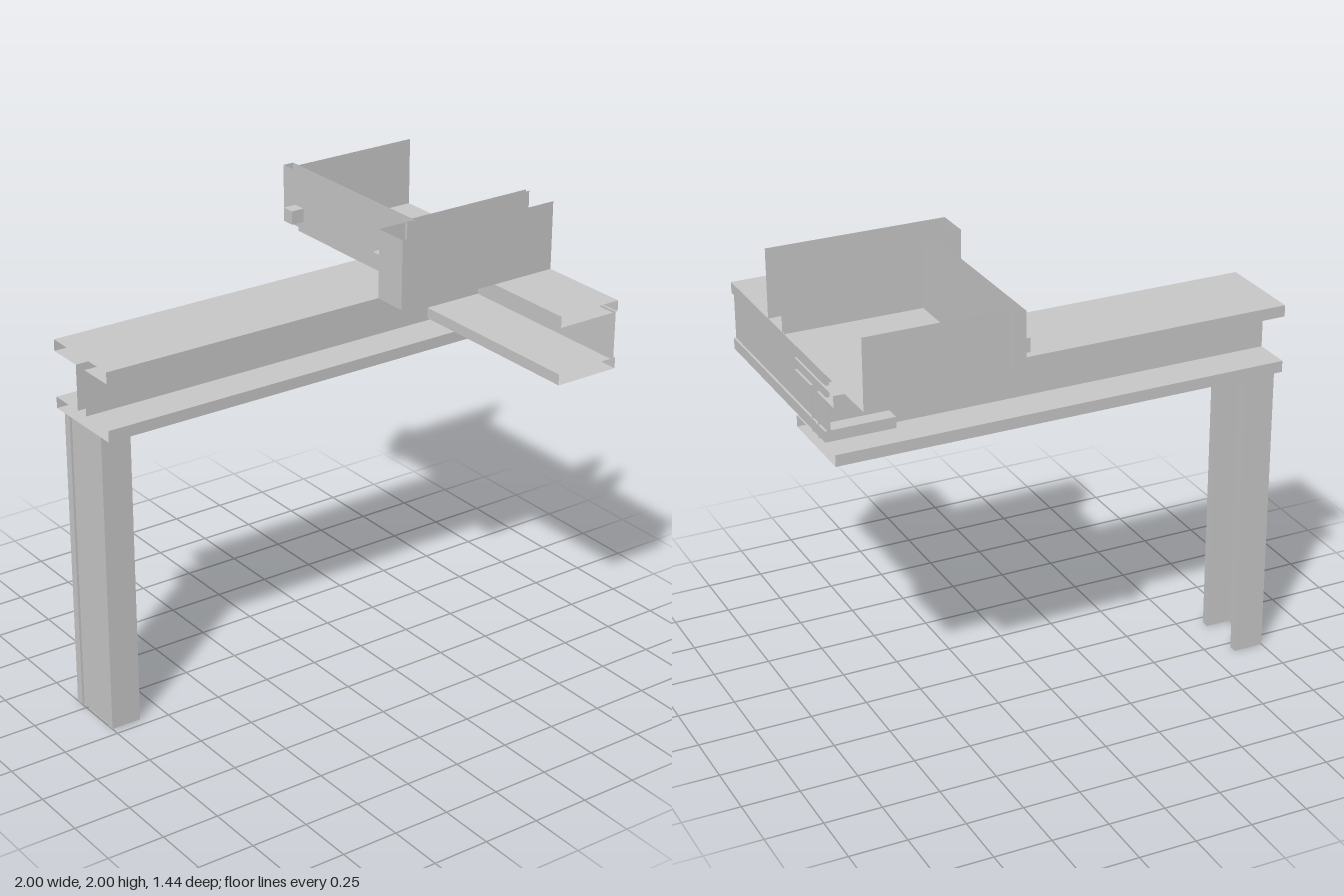
import * as THREE from 'three';

// I-shaped cross-section, centred; the web runs from web0 to web1 across the width
function iShape(width, height, flange, web0, web1) {
  const w = width / 2, h = height / 2, f = h - flange;
  return new THREE.Shape([
    [-w, -h], [w, -h], [w, -f], [web1, -f], [web1, f], [w, f],
    [w, h], [-w, h], [-w, f], [web0, f], [web0, -f], [-w, -f],
  ].map(([x, y]) => new THREE.Vector2(x, y)));
}

// Extruded profile from z = 0 to length, with its ends left open
function openExtrude(shape, length) {
  const full = new THREE.ExtrudeGeometry(shape, { depth: length, bevelEnabled: false });
  const side = full.groups[1];
  const g = new THREE.BufferGeometry();
  for (const key of ['position', 'normal']) {
    const array = full.attributes[key].array;
    g.setAttribute(key, new THREE.BufferAttribute(
      array.slice(side.start * 3, (side.start + side.count) * 3), 3));
  }
  return g;
}

export function createModel() {
  const model = new THREE.Group();
  model.name = 'steelFrameJoint';
  const steel = new THREE.MeshStandardMaterial({ color: 0xc8c8c8, side: THREE.DoubleSide });
  steel.name = 'greySteel';

  const add = (parent, name, geometry) => {
    const mesh = new THREE.Mesh(geometry, steel);
    mesh.name = name;
    parent.add(mesh);
    return mesh;
  };
  // Box given by its limits on each axis
  const block = (parent, name, [x0, x1], [y0, y1], [z0, z1]) => {
    const mesh = add(parent, name, new THREE.BoxGeometry(x1 - x0, y1 - y0, z1 - z0));
    mesh.position.set((x0 + x1) / 2, (y0 + y1) / 2, (z0 + z1) / 2);
  };

  // Column with its web near the outer side, closed at the foot
  const columnShape = iShape(0.135, 0.28, 0.038, -0.058, -0.043);
  const column = new THREE.Group();
  column.name = 'column';
  add(column, 'columnShaft', openExtrude(columnShape, 1.34));
  add(column, 'columnFoot', new THREE.ShapeGeometry(columnShape));
  column.rotation.x = -Math.PI / 2;
  column.position.set(-0.932, 0, -0.18);
  model.add(column);

  // Main beam along x
  const beam = add(model, 'mainBeam', openExtrude(iShape(0.4, 0.3, 0.05, -0.0325, 0.0325), 2));
  beam.rotation.y = Math.PI / 2;
  beam.position.set(-1, 1.49, -0.18);

  // Cross beam along z with its web near the outer side, closed at the back
  const crossShape = iShape(0.3, 0.3, 0.048, 0.125, 0.14);
  const cross = new THREE.Group();
  cross.name = 'crossBeam';
  add(cross, 'crossBeamShaft', openExtrude(crossShape, 1));
  add(cross, 'crossBeamEnd', new THREE.ShapeGeometry(crossShape));
  cross.position.set(0.85, 1.55, -0.28);
  model.add(cross);

  // Sheet trays, open at the top
  const tray = (name, [x0, x1], y0, [z0, z1]) => {
    const g = new THREE.Group();
    g.name = name;
    const w = x1 - x0, h = 2 - y0, d = z1 - z0;
    const x = (x0 + x1) / 2, y = (y0 + 2) / 2, z = (z0 + z1) / 2;
    const floor = add(g, 'trayFloor', new THREE.PlaneGeometry(w, d));
    floor.rotation.x = Math.PI / 2;
    floor.position.set(x, y0, z);
    for (const side of [z0, z1])
      add(g, 'trayWall', new THREE.PlaneGeometry(w, h)).position.set(x, y, side);
    const end = add(g, 'trayEndWall', new THREE.PlaneGeometry(d, h));
    end.rotation.y = -Math.PI / 2;
    end.position.set(x0, y, z);
    model.add(g);
    return g;
  };
  tray('frontTray', [0.22, 1], 1.7, [0.14, 0.295]);
  tray('wideTray', [0.4, 1], 1.7, [-0.68, 0.12]);

  // Hollow joining plate against the wide tray, with a bar inside and two bolts
  const plate = tray('joiningPlate', [0.35, 0.4], 1.75, [-0.72, 0.155]);
  const face = add(plate, 'plateFace', new THREE.PlaneGeometry(0.875, 0.25));
  face.rotation.y = Math.PI / 2;
  face.position.set(0.4, 1.875, -0.2825);
  block(plate, 'innerBar', [0.352, 0.375], [1.78, 1.845], [-0.51, -0.06]);
  for (const z of [-0.603, 0.035])
    block(model, 'bolt', [0.29, 0.357], [1.785, 1.845], [z - 0.03, z + 0.03]);

  return model;
}
